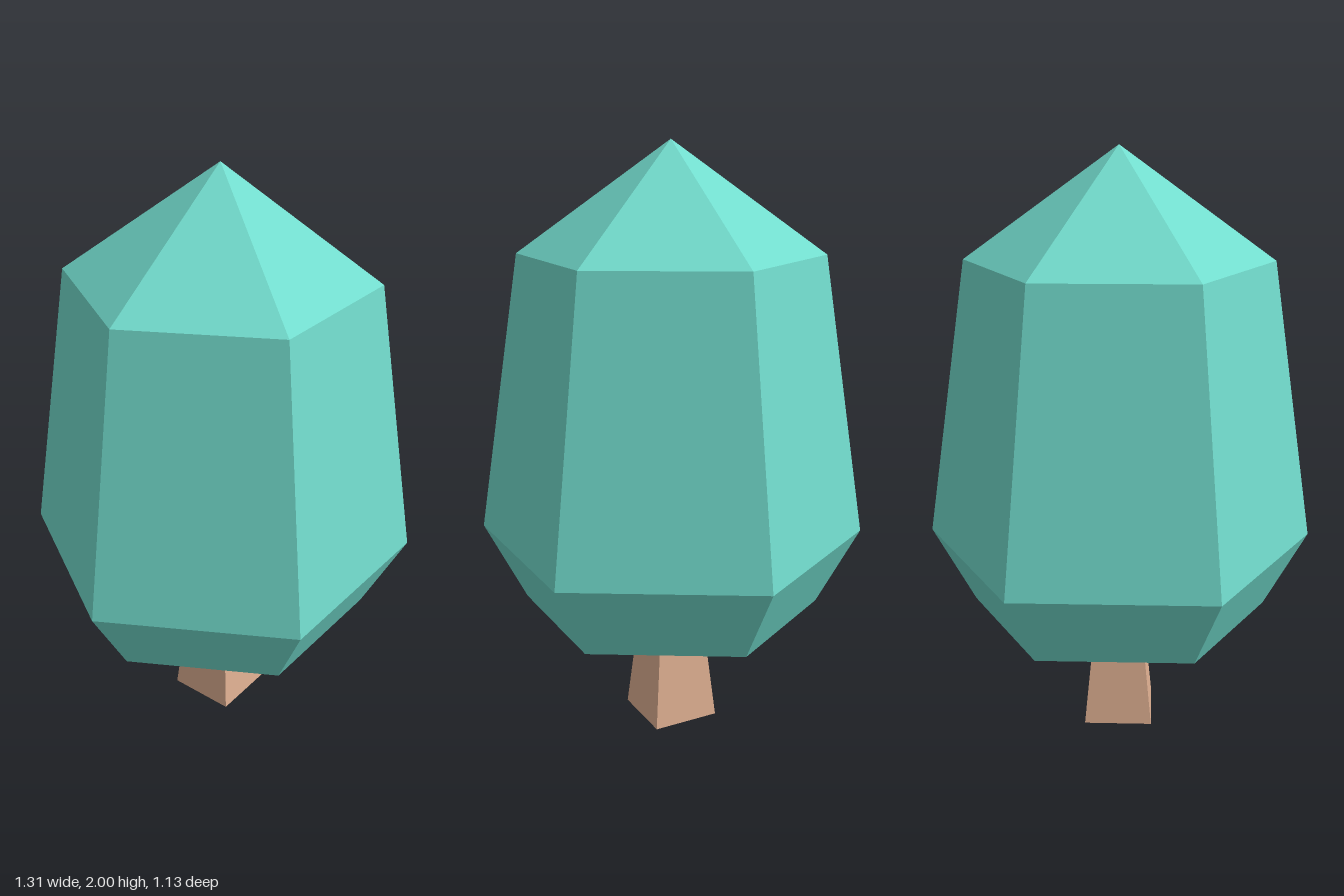
import * as THREE from 'three';

const TRUNK_TOP = 0.43;

// Flat-shaded mesh with one normal per facet
function facetedMesh(name, geometry, color) {
  const flat = geometry.toNonIndexed();
  flat.computeVertexNormals();
  const mesh = new THREE.Mesh(flat, new THREE.MeshStandardMaterial({ color, flatShading: true }));
  mesh.name = name;
  return mesh;
}

export function createModel() {
  const tree = new THREE.Group();
  tree.name = 'tree';

  // Square tapered trunk, sides facing the axes
  const trunk = new THREE.CylinderGeometry(0.077 * Math.SQRT2, 0.118 * Math.SQRT2, TRUNK_TOP, 4);
  trunk.rotateY(Math.PI / 4);
  trunk.translate(0, TRUNK_TOP / 2, 0);
  tree.add(facetedMesh('trunk', trunk, 0xdfb092));

  // Six-sided crown with corners on the x axis, from underside to tip
  const profile = [
    [0, TRUNK_TOP], [0.51, TRUNK_TOP], [0.655, 0.695], [0.505, 1.64], [0, 2],
  ].map(([r, y]) => new THREE.Vector2(r, y));
  const crown = new THREE.LatheGeometry(profile, 6, Math.PI / 2);
  tree.add(facetedMesh('crown', crown, 0x72dccd));

  return tree;
}
